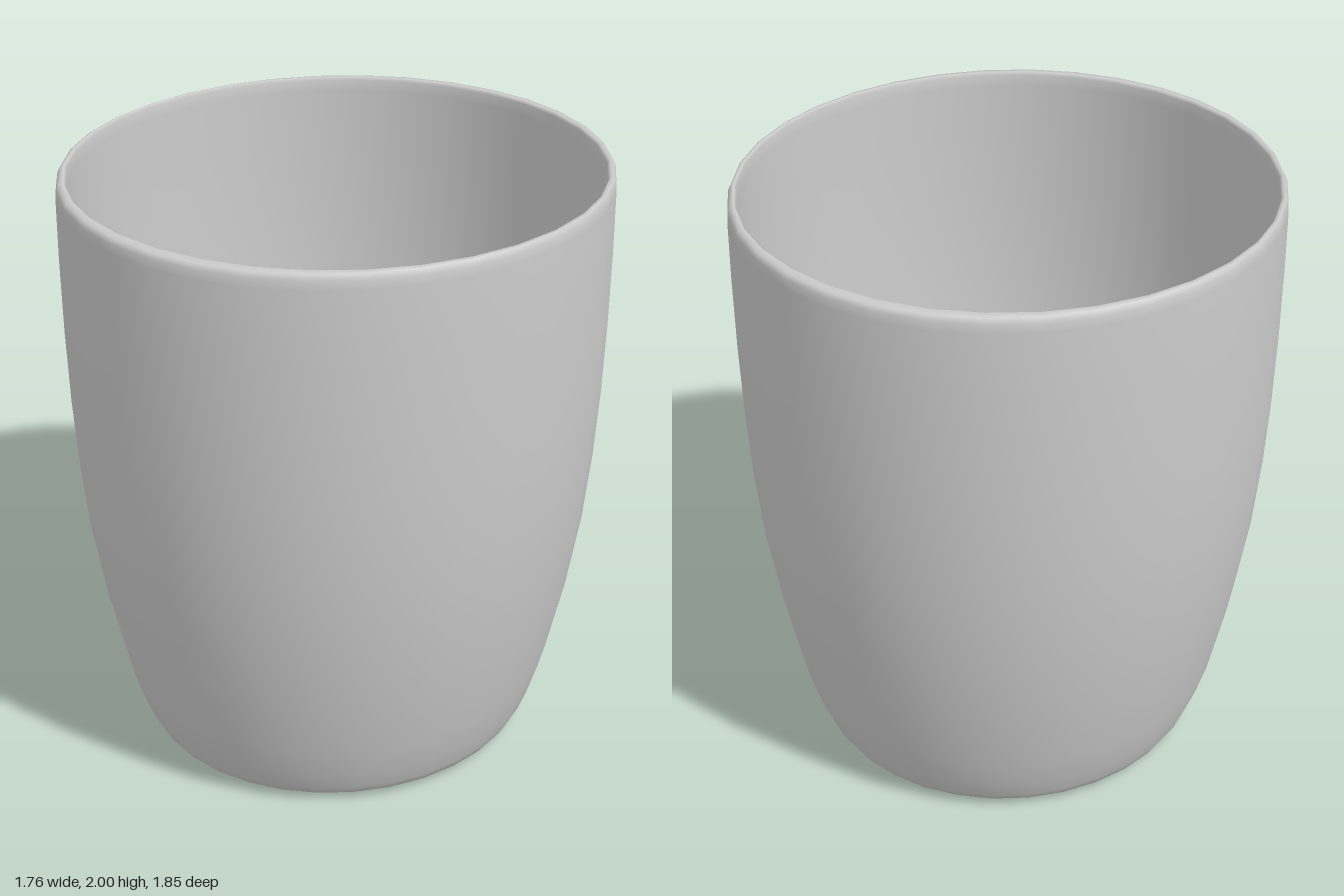
import * as THREE from 'three';
import { mergeVertices } from 'three/addons/utils/BufferGeometryUtils.js';

const SIDES = 34;

// Wall profile as [radius along x, height], running up the outside and down the inside
const outer = [
  [0, 0], [0.57, 0], [0.595, 0.003], [0.625, 0.012], [0.65, 0.03], [0.668, 0.06],
  [0.695, 0.13], [0.732, 0.25], [0.787, 0.5], [0.831, 0.77], [0.856, 1.02],
  [0.87, 1.25], [0.878, 1.5], [0.881, 1.75], [0.88, 1.95], [0.878, 1.98], [0.87, 1.997],
];
const inner = [
  [0.862, 2], [0.855, 1.99], [0.854, 1.95], [0.854, 1.75], [0.852, 1.5], [0.845, 1.25],
  [0.831, 1.02], [0.806, 0.77], [0.761, 0.5], [0.706, 0.25], [0.668, 0.14],
  [0.652, 0.1], [0.635, 0.075], [0.61, 0.063], [0.58, 0.06], [0, 0.06],
];

export function createModel() {
  const group = new THREE.Group();
  group.name = 'cup';

  const profile = [...outer, ...inner].map(([r, y]) => new THREE.Vector2(r, y));
  let geometry = new THREE.LatheGeometry(profile, SIDES, Math.PI / 2);

  // Slightly oval: the outside is stretched a little more in depth than the inside
  const pos = geometry.attributes.position;
  for (let i = 0; i < pos.count; i++) {
    const stretch = i % profile.length < outer.length ? 1.056 : 1.033;
    pos.setZ(i, pos.getZ(i) * stretch);
  }

  // Weld the seam so the shading is smooth all the way round
  geometry.deleteAttribute('uv');
  geometry.deleteAttribute('normal');
  geometry = mergeVertices(geometry, 1e-4);
  geometry.computeVertexNormals();

  const material = new THREE.MeshStandardMaterial({ color: 0xcccccc });
  const body = new THREE.Mesh(geometry, material);
  body.name = 'cupBody';
  group.add(body);
  return group;
}
